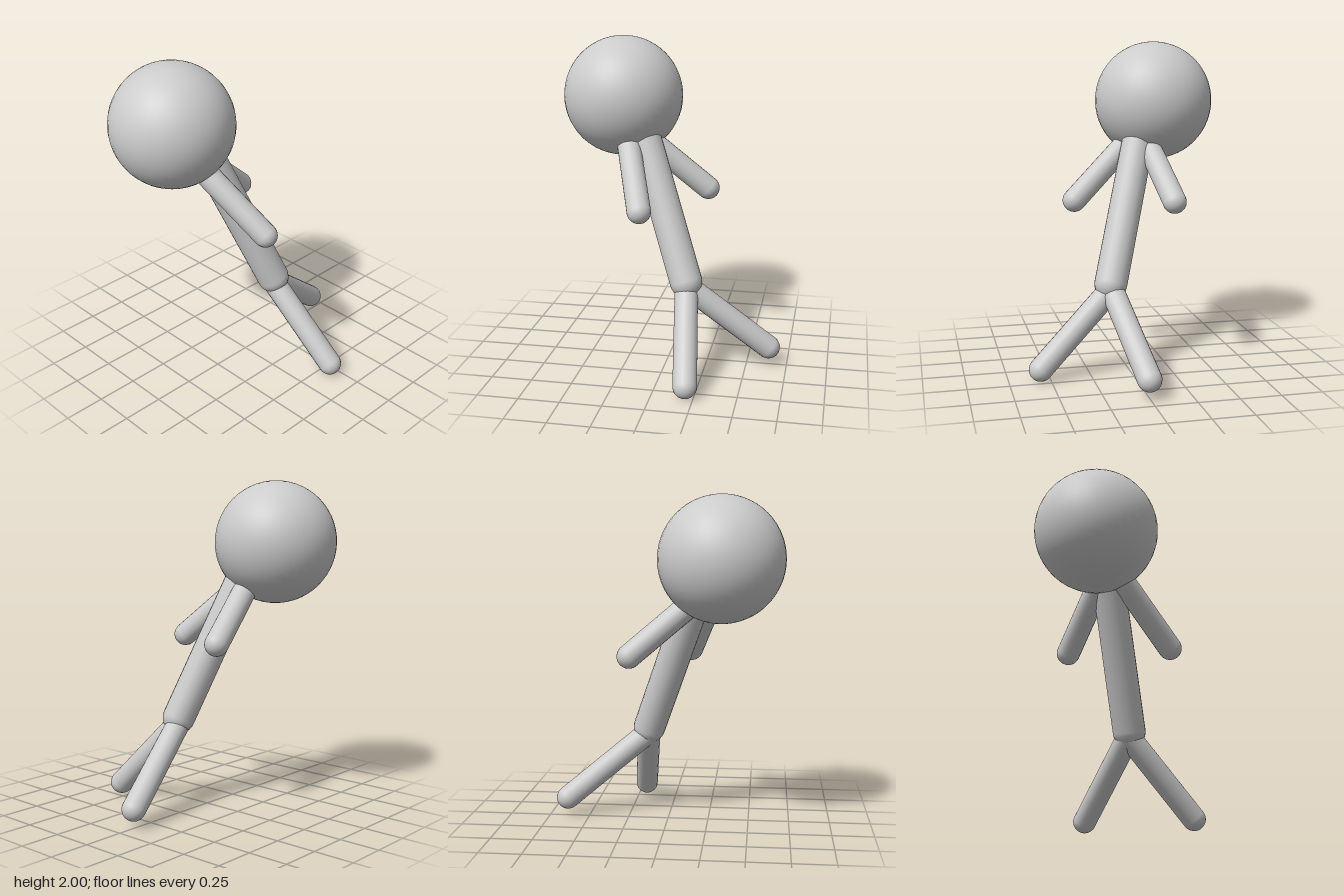
import * as THREE from 'three';

const material = new THREE.MeshStandardMaterial({ color: 0xcccccc });

// Round-ended limb whose cap centres sit at points a and b
function limb(name, a, b, radius) {
  const start = new THREE.Vector3(...a);
  const end = new THREE.Vector3(...b);
  const axis = end.clone().sub(start);
  const mesh = new THREE.Mesh(new THREE.CapsuleGeometry(radius, axis.length(), 8, 20), material);
  mesh.name = name;
  mesh.position.copy(start).add(end).multiplyScalar(0.5);
  mesh.quaternion.setFromUnitVectors(new THREE.Vector3(0, 1, 0), axis.normalize());
  return mesh;
}

export function createModel() {
  const figure = new THREE.Group();
  figure.name = 'stickFigure';

  // Large round head
  const head = new THREE.Mesh(new THREE.SphereGeometry(0.372, 40, 28), material);
  head.name = 'head';
  head.position.set(-0.335, 1.628, -0.263);
  figure.add(head);

  // Leaning body, with arms spreading from under the head and legs from the hip
  const hip = [0.132, 0.525, 0.113];
  figure.add(
    limb('torso', [0.13, 0.555, 0.117], [-0.2, 1.47, -0.148], 0.1),
    limb('rightArm', [-0.275, 1.395, -0.1], [-0.123, 1.033, 0.292], 0.072),
    limb('leftArm', [-0.18, 1.385, -0.18], [0.207, 1.056, -0.258], 0.072),
    limb('rightLeg', hip, [0.2, 0.072, 0.56], 0.072),
    limb('leftLeg', hip, [0.634, 0.115, 0.002], 0.072),
  );
  return figure;
}
